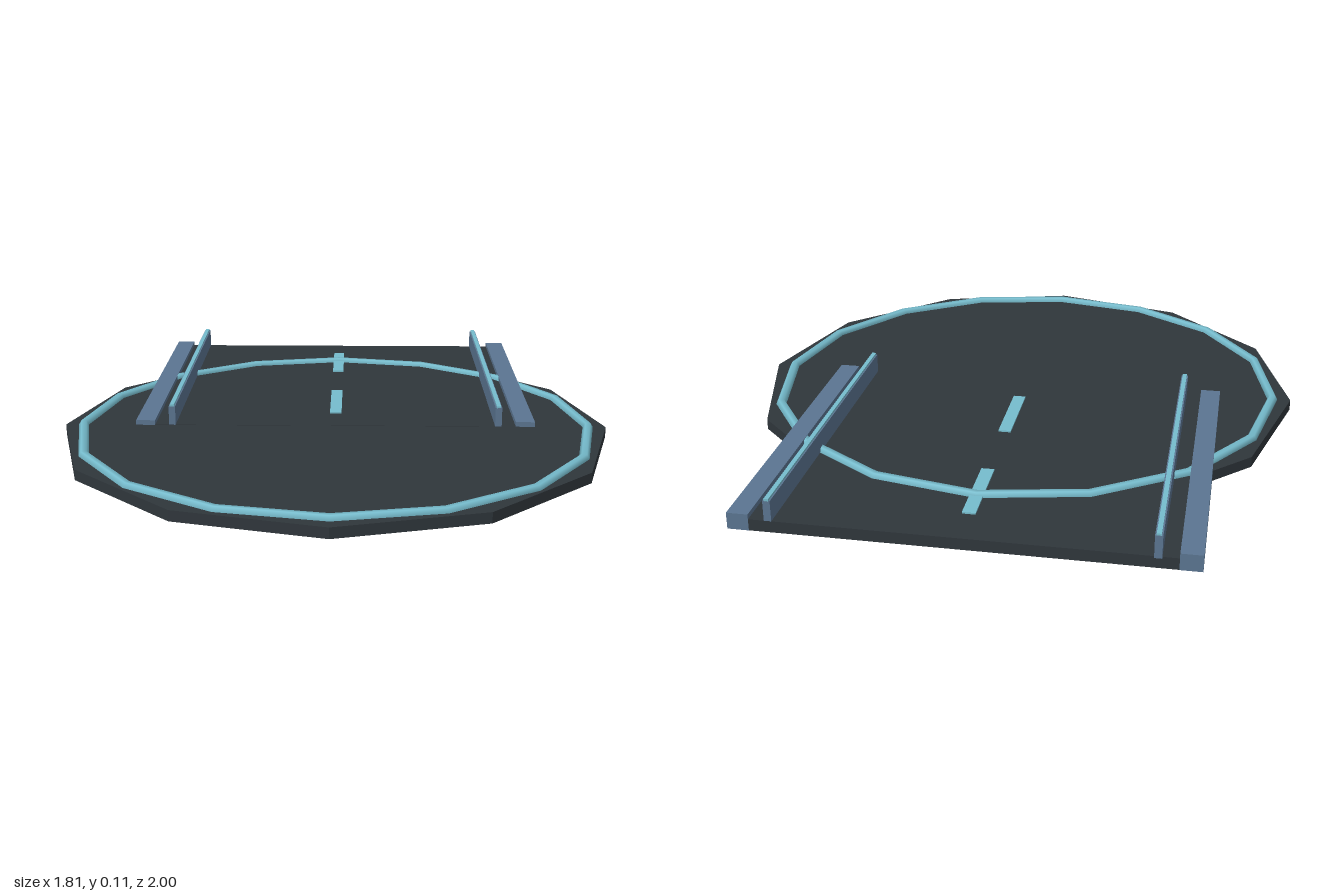
import * as THREE from 'three';

const material = (name, color) => {
  const m = new THREE.MeshStandardMaterial({ color });
  m.name = name;
  return m;
};

export function createModel() {
  const group = new THREE.Group();
  const deckDark = material('dark deck', 0x2f363b);
  const steel = material('steel blue', 0x5b7591);
  const light = material('pale cyan', 0x76bccd);

  const add = (name, geometry, mat, x, y, z) => {
    const mesh = new THREE.Mesh(geometry, mat);
    mesh.name = name;
    mesh.position.set(x, y, z);
    group.add(mesh);
    return mesh;
  };
  // box given by its centre in x and z and its bottom and top
  const box = (name, mat, x, z, width, length, bottom, top) =>
    add(name, new THREE.BoxGeometry(width, top - bottom, length), mat, x, (bottom + top) / 2, z);

  const padZ = 0.095, rampLength = 1.095, rampZ = padZ - rampLength / 2;

  // twelve-sided landing pad with its raised ring
  const padGeometry = new THREE.CylinderGeometry(0.905, 0.905, 0.034, 12).toNonIndexed();
  padGeometry.computeVertexNormals();
  add('pad', padGeometry, deckDark, 0, 0.018, padZ);
  const ring = add('padRing', new THREE.TorusGeometry(0.845, 0.017, 6, 16), light, 0, 0.035, padZ);
  ring.rotation.x = -Math.PI / 2;

  // straight ramp running to the back
  box('ramp', deckDark, 0, rampZ, 1.21, rampLength, 0.0005, 0.036);

  // centre line dashes
  for (const offset of [-0.2725, 0.2725])
    box('centreDash', light, 0, rampZ + offset, 0.04, 0.275, 0.035, 0.041);

  // edge beams and rails with a light strip on top
  for (const side of [-1, 1]) {
    box('edgeBeam', steel, side * 0.637, rampZ, 0.064, rampLength, 0, 0.051);
    box('rail', steel, side * 0.547, rampZ, 0.022, rampLength, 0.03, 0.1);
    box('railLight', light, side * 0.547, rampZ, 0.014, rampLength, 0.098, 0.106);
  }

  return group;
}
